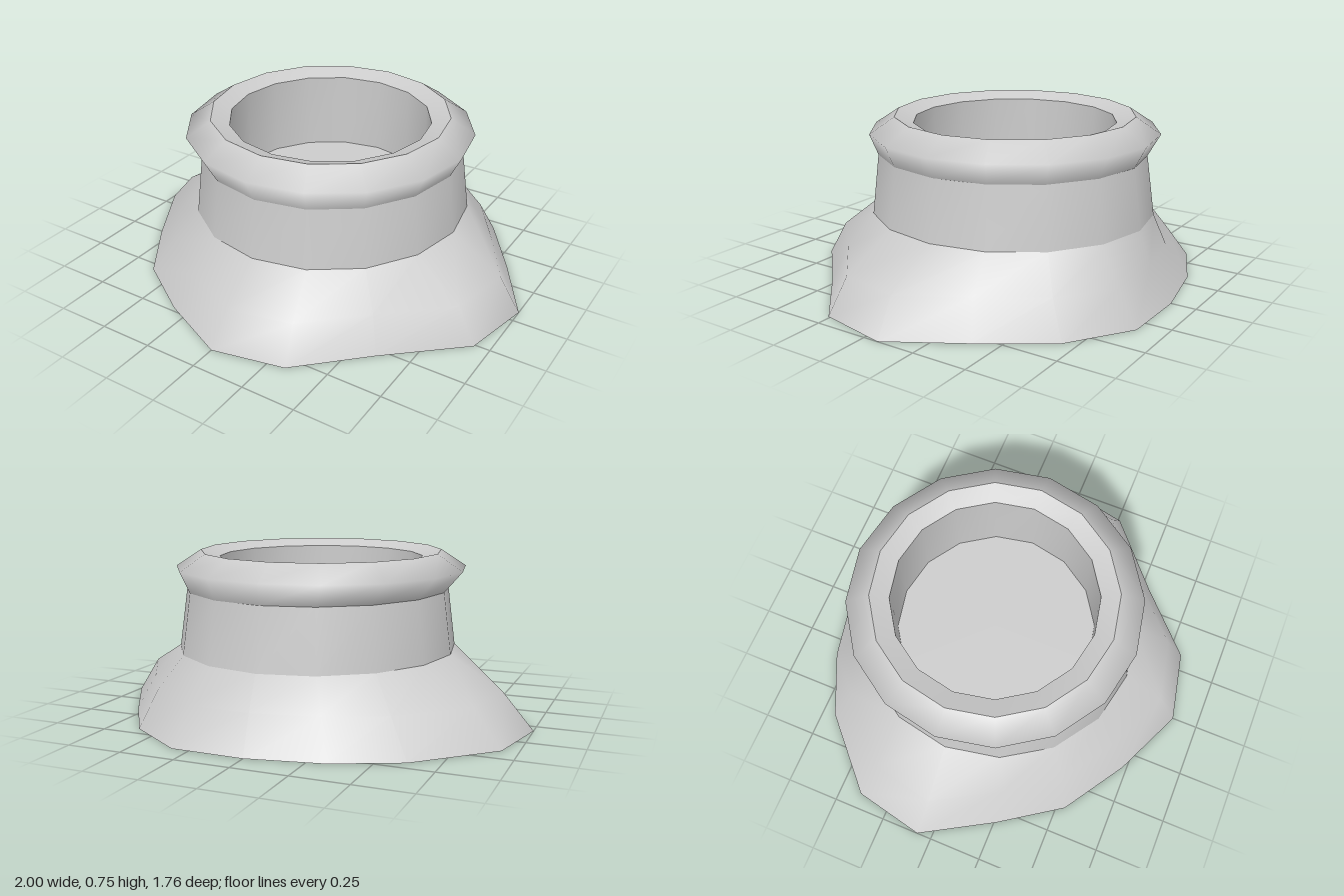
import * as THREE from 'three';

const SIDES = 16;
const material = new THREE.MeshStandardMaterial({ color: 0xcccccc });

// Regular ring of points, starting at the back and running towards +x
function ring(y, rx, rz = rx, cx = 0, cz = -0.07) {
  return Array.from({ length: SIDES }, (_, i) => {
    const a = (i / SIDES) * Math.PI * 2;
    return [cx + Math.sin(a) * rx, y, cz - Math.cos(a) * rz];
  });
}

// Smooth skin through rings: rising rings face out, sinking rings face in
function loft(name, rings) {
  const index = [];
  for (let r = 0; r < rings.length - 1; r++) {
    for (let i = 0; i < SIDES; i++) {
      const j = (i + 1) % SIDES;
      const a = r * SIDES + i, b = r * SIDES + j;
      index.push(a, a + SIDES, b, b, a + SIDES, b + SIDES);
    }
  }
  const geometry = new THREE.BufferGeometry();
  geometry.setAttribute('position', new THREE.Float32BufferAttribute(rings.flat(2), 3));
  geometry.setIndex(index);
  geometry.computeVertexNormals();
  const mesh = new THREE.Mesh(geometry, material);
  mesh.name = name;
  return mesh;
}

export function createModel() {
  const group = new THREE.Group();
  group.name = 'collaredPot';

  // Irregular footprint of the spreading base
  const foot = [
    [0, -0.885], [0.33, -0.88], [0.61, -0.69], [0.81, -0.39],
    [1, -0.07], [0.93, 0.26], [0.61, 0.54], [0.33, 0.81],
    [0, 0.88], [-0.33, 0.73], [-0.62, 0.54], [-0.81, 0.26],
    [-1, -0.07], [-0.93, -0.4], [-0.62, -0.69], [-0.33, -0.82],
  ].map(([x, z]) => [x, 0, z]);
  const shoulder = foot.map(([x, , z]) => [x * 0.88 + 0.02, 0.16, z * 0.89]);

  const neckBottom = ring(0.31, 0.638, 0.66, 0.017);
  const neckTop = ring(0.585, 0.602, 0.625, 0.017, -0.066);
  const rimTop = ring(0.755, 0.553);
  const mouth = ring(0.725, 0.467);
  const floor = ring(0.365, 0.467);

  group.add(
    loft('underside', [ring(0, 0), foot]),
    loft('base', [foot, shoulder, neckBottom]),
    loft('neck', [neckBottom, neckTop]),
    loft('rim', [neckTop, ring(0.68, 0.667), rimTop]),
    loft('rimBevel', [rimTop, mouth]),
    loft('innerWall', [mouth, floor]),
    loft('innerFloor', [floor, ring(0.365, 0)]),
  );
  return group;
}
